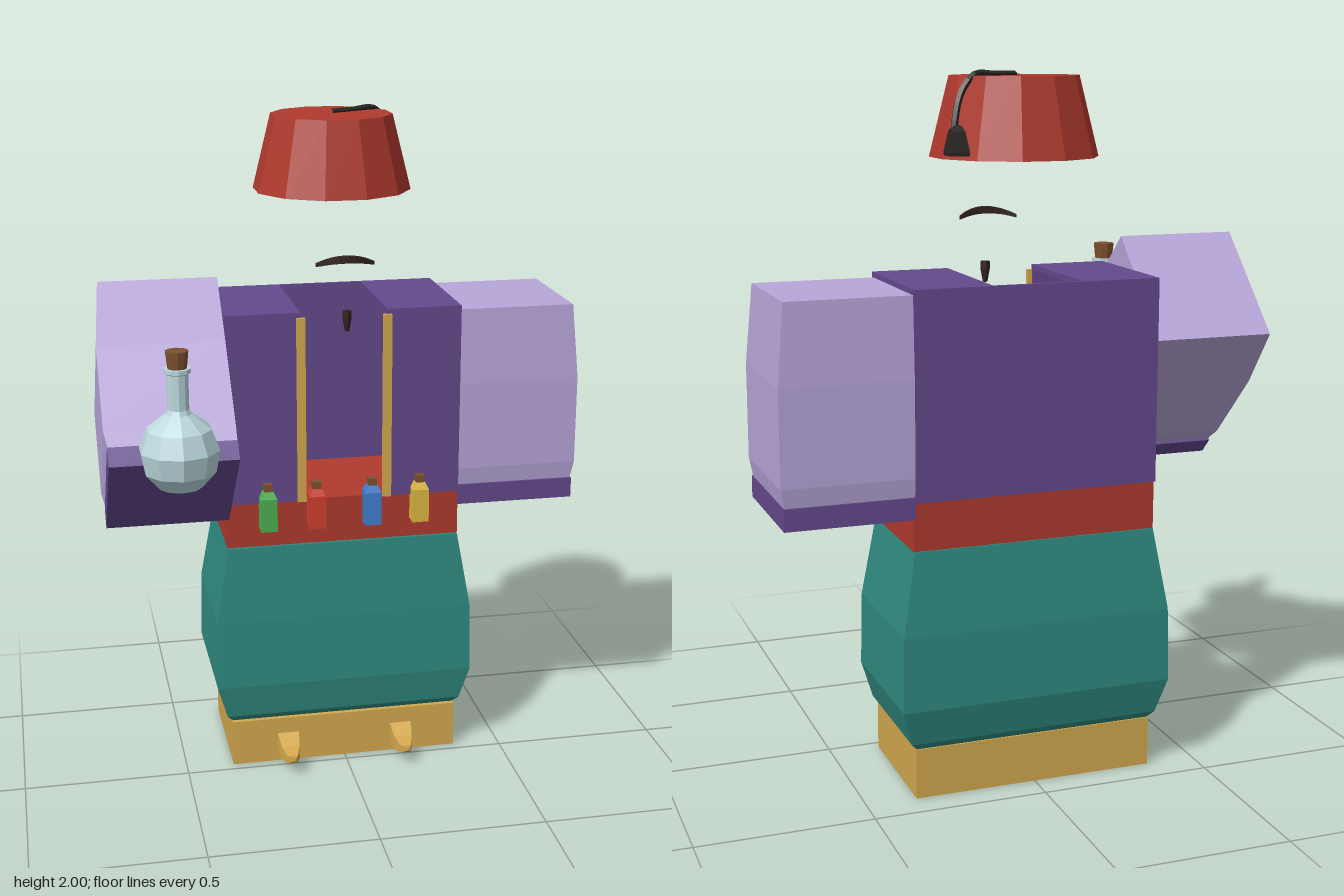
import * as THREE from 'three';

const PURPLE = 0x64498c, LILAC = 0xb8a6d9, RED = 0xb03a2e, TEAL = 0x2f8a80;
const GOLD = 0xd4a94e, BLACK = 0x2a2623, CORK = 0x7d5230, GLASS = 0xbcd9de;

const mat = (color) => new THREE.MeshStandardMaterial({ color, flatShading: true });

function add(parent, name, geometry, color, x = 0, y = 0, z = 0) {
  const mesh = new THREE.Mesh(geometry, mat(color));
  mesh.name = name;
  mesh.position.set(x, y, z);
  parent.add(mesh);
  return mesh;
}

// Box given by its limits
function block(parent, name, color, x0, x1, y0, y1, z0, z1) {
  return add(parent, name, new THREE.BoxGeometry(x1 - x0, y1 - y0, z1 - z0), color,
    (x0 + x1) / 2, (y0 + y1) / 2, (z0 + z1) / 2);
}

// Rectangular cross-sections stacked upward: [y, x0, x1, z0, z1]
function loft(rings) {
  const n = rings.length - 1;
  const g = new THREE.BoxGeometry(1, 1, 1, 1, n, 1);
  const p = g.attributes.position;
  for (let i = 0; i < p.count; i++) {
    const [y, x0, x1, z0, z1] = rings[Math.round((p.getY(i) + 0.5) * n)];
    p.setXYZ(i, p.getX(i) < 0 ? x0 : x1, y, p.getZ(i) < 0 ? z0 : z1);
  }
  g.computeVertexNormals();
  return g;
}

// Orders an inner and outer x for either side of the body
const span = (side, a, b) => (side > 0 ? [a, b] : [-b, -a]);

const lathe = (pts, sides) =>
  new THREE.LatheGeometry(pts.map(([r, y]) => new THREE.Vector2(r, y)), sides);

// Sleeve with cuff, centred on its own middle in y and z
function makeArm(side) {
  const arm = new THREE.Group();
  arm.name = side > 0 ? 'leftArm' : 'rightArm';
  const rings = [
    [-0.245, 0.715, 0.19], [-0.19, 0.725, 0.197], [0.08, 0.725, 0.197], [0.305, 0.705, 0.187],
  ].map(([y, x, d]) => [y, ...span(side, 0.355, x), -d, d]);
  add(arm, 'sleeve', loft(rings), LILAC);
  const [c0, c1] = span(side, 0.355, 0.718);
  block(arm, 'cuff', PURPLE, c0, c1, -0.305, -0.243, -0.197, 0.197);
  return arm;
}

export function createModel() {
  const model = new THREE.Group();
  model.name = 'potionSeller';

  for (const side of [1, -1]) {
    // Shoes with curled toes
    const [s0, s1] = span(side, 0, 0.355);
    block(model, 'shoe', GOLD, s0, s1, 0, 0.145, -0.415, -0.03);
    const toe = loft([
      [0, -0.034, 0.034, -0.095, -0.028],
      [0.045, -0.028, 0.028, -0.067, -0.023],
      [0.085, -0.016, 0.016, -0.054, -0.03],
      [0.125, -0.004, 0.004, -0.066, -0.056],
    ]);
    add(model, 'toe', toe, GOLD, side * 0.18, 0, -0.032).rotation.x = Math.PI / 2;
    toe.rotateY(0);

    // Baggy trouser legs
    const leg = [
      [0.145, 0.352, -0.41, -0.045], [0.165, 0.37, -0.425, -0.03], [0.27, 0.4, -0.45, -0.014],
      [0.485, 0.396, -0.445, -0.018], [0.72, 0.355, -0.42, -0.035],
    ].map(([y, x, z0, z1]) => [y, ...span(side, 0, x), z0, z1]);
    add(model, 'trouserLeg', loft(leg), TEAL);

    // Open jacket: front panel, shoulder and gold trim
    const [j0, j1] = span(side, 0.13, 0.355);
    block(model, 'jacketFront', PURPLE, j0, j1, 0.86, 1.425, -0.046, -0.034);
    block(model, 'jacketShoulder', PURPLE, j0, j1, 1.425, 1.44, -0.43, -0.034);
    const [t0, t1] = span(side, 0.117, 0.143);
    block(model, 'jacketTrim', GOLD, t0, t1, 0.86, 1.425, -0.038, -0.024);
  }
  block(model, 'jacketBack', PURPLE, -0.355, 0.355, 0.86, 1.44, -0.43, -0.418);
  block(model, 'sash', RED, -0.357, 0.357, 0.72, 0.862, -0.415, -0.045);

  // Left arm hangs, right arm swings forward
  const leftArm = makeArm(1);
  leftArm.position.set(0, 1.12, -0.235);
  const rightArm = makeArm(-1);
  rightArm.position.set(0, 1.18, -0.083);
  rightArm.rotation.x = -Math.PI / 4;
  model.add(leftArm, rightArm);

  // Small vials on the sash
  [[-0.235, 0x4cb050], [-0.088, 0xd03f30], [0.083, 0x3f7fd0], [0.23, 0xdcb840]].forEach(([x, color]) => {
    const vial = new THREE.Group();
    vial.name = 'vial';
    vial.position.set(x, 0, -0.023);
    const h = 0.025, k = 0.015;
    add(vial, 'vialGlass', loft([
      [0.78, -h, h, -h, h], [0.882, -h, h, -h, h], [0.903, -k, k, -k, k],
    ]), color);
    block(vial, 'vialCork', CORK, -0.013, 0.013, 0.9, 0.925, -0.013, 0.013);
    model.add(vial);
  });

  // Round flask with cork
  const flask = new THREE.Group();
  flask.name = 'flask';
  flask.position.set(-0.53, 1.16, 0.355);
  add(flask, 'flaskGlass', lathe([
    [0, -0.11], [0.06, -0.095], [0.1, -0.05], [0.112, 0.012], [0.09, 0.07], [0.052, 0.1],
    [0.036, 0.112], [0.03, 0.125], [0.03, 0.222], [0.037, 0.226], [0.037, 0.238], [0, 0.238],
  ], 10), GLASS);
  add(flask, 'flaskCork', new THREE.CylinderGeometry(0.032, 0.026, 0.055, 10), CORK, 0, 0.258, 0);
  model.add(flask);

  // Hat with cord and tassel
  const hat = new THREE.CylinderGeometry(0.18, 0.235, 0.22, 12, 1, false, Math.PI / 12);
  add(model, 'hat', hat, RED, 0, 1.878, -0.229);
  const cord = new THREE.CatmullRomCurve3([
    [0, 1.99, -0.233], [0.07, 1.99, -0.27], [0.145, 1.99, -0.307],
    [0.186, 1.945, -0.322], [0.205, 1.89, -0.334], [0.212, 1.85, -0.34],
  ].map((p) => new THREE.Vector3(...p)));
  add(model, 'hatCord', new THREE.TubeGeometry(cord, 14, 0.01, 5), BLACK);
  add(model, 'tassel', loft([
    [1.78, -0.027, 0.027, -0.027, 0.027], [1.79, -0.028, 0.028, -0.028, 0.028],
    [1.845, -0.018, 0.018, -0.018, 0.018], [1.86, -0.01, 0.01, -0.01, 0.01],
  ]), BLACK, 0.205, 0, -0.342);

  // Bowed, tapering moustache
  const moustache = new THREE.BoxGeometry(0.172, 0.02, 0.02, 8, 1, 1);
  const p = moustache.attributes.position;
  for (let i = 0; i < p.count; i++) {
    const t = p.getX(i) / 0.086, taper = 1 - 0.5 * t * t;
    p.setY(i, p.getY(i) * taper - 0.018 * t * t);
    p.setZ(i, p.getZ(i) * taper - 0.025 * t * t);
  }
  add(model, 'moustache', moustache, 0x33241e, 0, 1.6, 0.006);

  // Goatee
  add(model, 'goatee', lathe([
    [0, -0.032], [0.007, -0.03], [0.014, 0.008], [0.014, 0.03], [0, 0.03],
  ], 6), 0x33241e, 0, 1.42, 0.007);

  return model;
}
